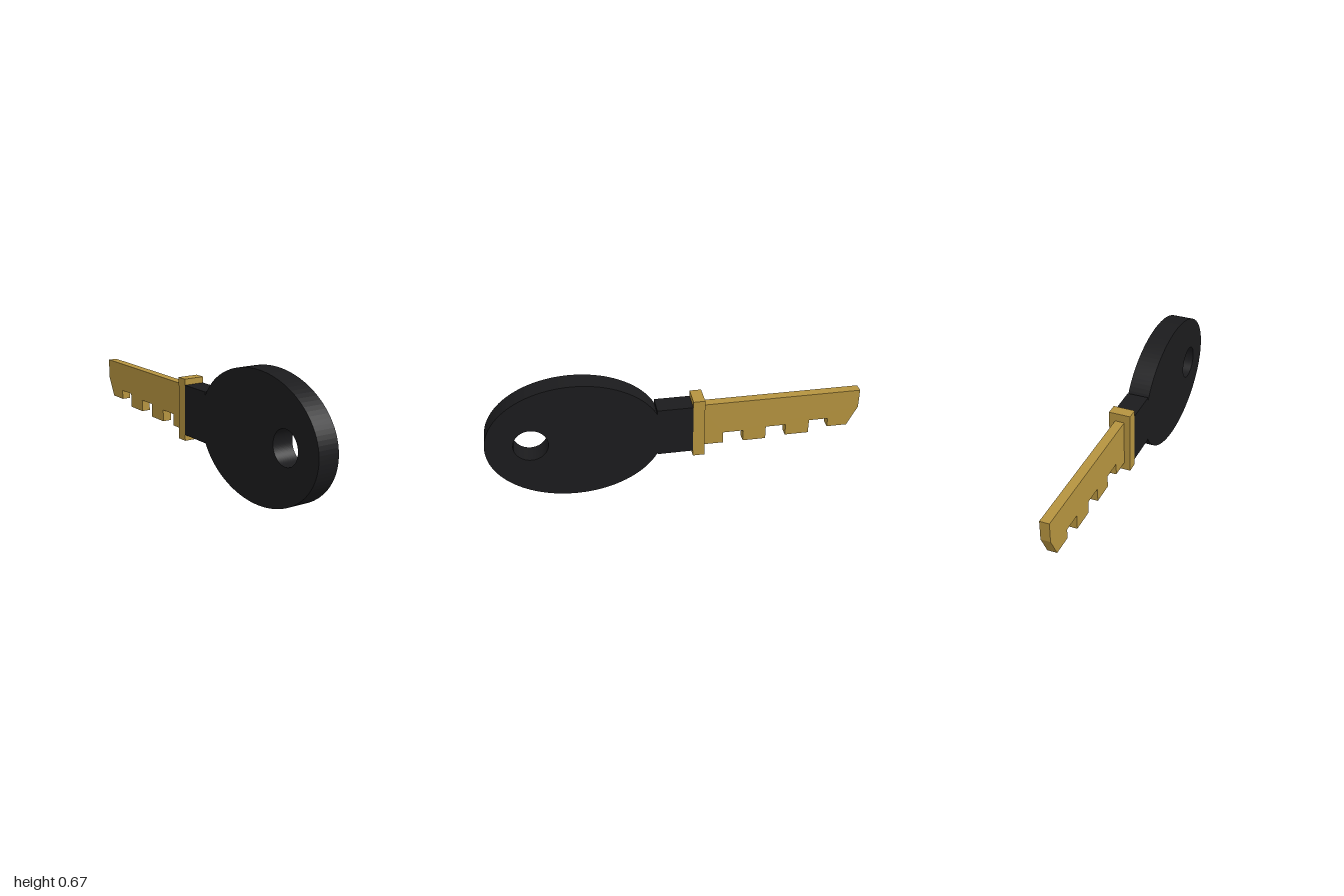
import * as THREE from 'three';

const plastic = new THREE.MeshStandardMaterial({ color: 0x1b1b1d });
const brass = new THREE.MeshStandardMaterial({ color: 0xb5933f });

// Extrudes a side profile (shape x = -z, shape y = y) to a plate centred on x = 0
function plate(name, shape, width, material, curveSegments = 12) {
  const geometry = new THREE.ExtrudeGeometry(shape, { depth: width, bevelEnabled: false, curveSegments });
  geometry.translate(0, 0, -width / 2).rotateY(Math.PI / 2);
  const mesh = new THREE.Mesh(geometry, material);
  mesh.name = name;
  return mesh;
}

// Box given by its z and y ranges
function block(name, width, [z0, z1], [y0, y1], material) {
  const mesh = new THREE.Mesh(new THREE.BoxGeometry(width, y1 - y0, z1 - z0), material);
  mesh.position.set(0, (y0 + y1) / 2, (z0 + z1) / 2);
  mesh.name = name;
  return mesh;
}

export function createModel() {
  const key = new THREE.Group();
  key.name = 'key';
  const thick = 0.116;

  // Oval bow with a round hole for the key ring
  const oval = new THREE.Shape().absellipse(-0.537, 0.335, 0.463, 0.335, 0, Math.PI * 2);
  oval.holes.push(new THREE.Path().absarc(-0.765, 0.338, 0.091, 0, Math.PI * 2));
  key.add(plate('bow', oval, thick, plastic, 48));

  // Neck and collar
  key.add(block('neck', thick, [-0.085, 0.105], [0.203, 0.477], plastic));
  key.add(block('collar', thick, [-0.147, -0.085], [0.17, 0.51], brass));

  // Blade: straight back, sloped tip, and square cuts along the lower edge
  const outline = [[0.12, 0.465], [0.12, 0.213]];
  const steps = [[0.255, 0.213], [0.365, 0.278], [0.49, 0.213], [0.6, 0.288], [0.73, 0.223], [0.835, 0.302], [0.945, 0.25]];
  let start = 0.12;
  for (const [end, y] of steps) {
    outline.push([start, y], [end, y]);
    start = end;
  }
  outline.push([1, 0.36], [1, 0.465]);
  outline.splice(1, 1);
  const profile = new THREE.Shape(outline.map(([x, y]) => new THREE.Vector2(x, y)));
  key.add(plate('blade', profile, 0.05, brass));

  return key;
}
